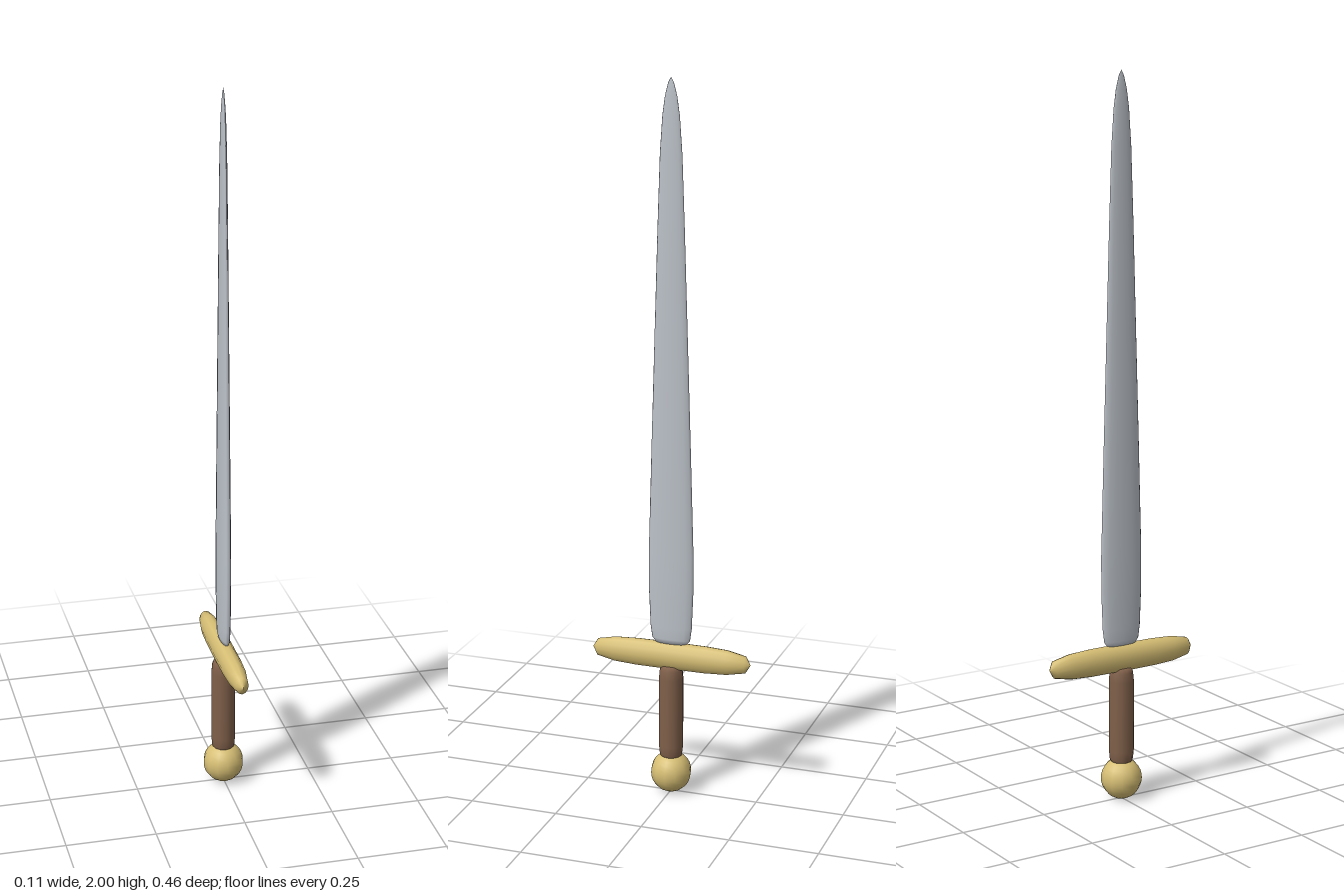
import * as THREE from 'three';

const gold = new THREE.MeshStandardMaterial({ color: 0xd6be74 });
const steel = new THREE.MeshStandardMaterial({ color: 0xbcc2c9 });
const leather = new THREE.MeshStandardMaterial({ color: 0x80604a });

// Turned part: [radius, height] points listed from bottom to top
function turned(name, points, material, sides = 12) {
  const profile = points.map(([r, y]) => new THREE.Vector2(r, y));
  const mesh = new THREE.Mesh(new THREE.LatheGeometry(profile, sides), material);
  mesh.name = name;
  return mesh;
}

export function createModel() {
  const sword = new THREE.Group();
  sword.name = 'sword';

  // Ball pommel
  const pommel = new THREE.Mesh(new THREE.SphereGeometry(0.057, 12, 16), gold);
  pommel.name = 'pommel';
  pommel.position.y = 0.059;
  pommel.scale.y = 1.03;

  // Round grip with softened ends
  const grip = turned('grip', [
    [0, 0.1], [0.027, 0.102], [0.032, 0.115], [0.0345, 0.14],
    [0.0345, 0.34], [0.032, 0.365], [0.027, 0.378], [0, 0.38],
  ], leather);

  // Crossguard: a flattened spindle lying along z
  const half = [[0.018, 0.215], [0.026, 0.163], [0.0285, 0.1]];
  const guard = turned('crossguard', [
    [0, -0.23],
    ...half.map(([r, z]) => [r, -z]),
    [0.029, 0],
    ...half.slice().reverse(),
    [0, 0.23],
  ], gold);
  guard.rotation.x = Math.PI / 2;
  guard.scale.z = 1.38;
  guard.position.y = 0.405;

  // Blade: a long tapering profile squashed to a thin oval section
  const blade = turned('blade', [
    [0, 0.438], [0.045, 0.442], [0.055, 0.455], [0.06, 0.49], [0.0645, 0.6],
    [0.0645, 0.7], [0.056, 1.0], [0.047, 1.3], [0.038, 1.6],
    [0.031, 1.8], [0.024, 1.9], [0.017, 1.95], [0.008, 1.985], [0, 2],
  ], steel, 16);
  blade.scale.x = 0.24;

  sword.add(pommel, grip, guard, blade);
  return sword;
}
